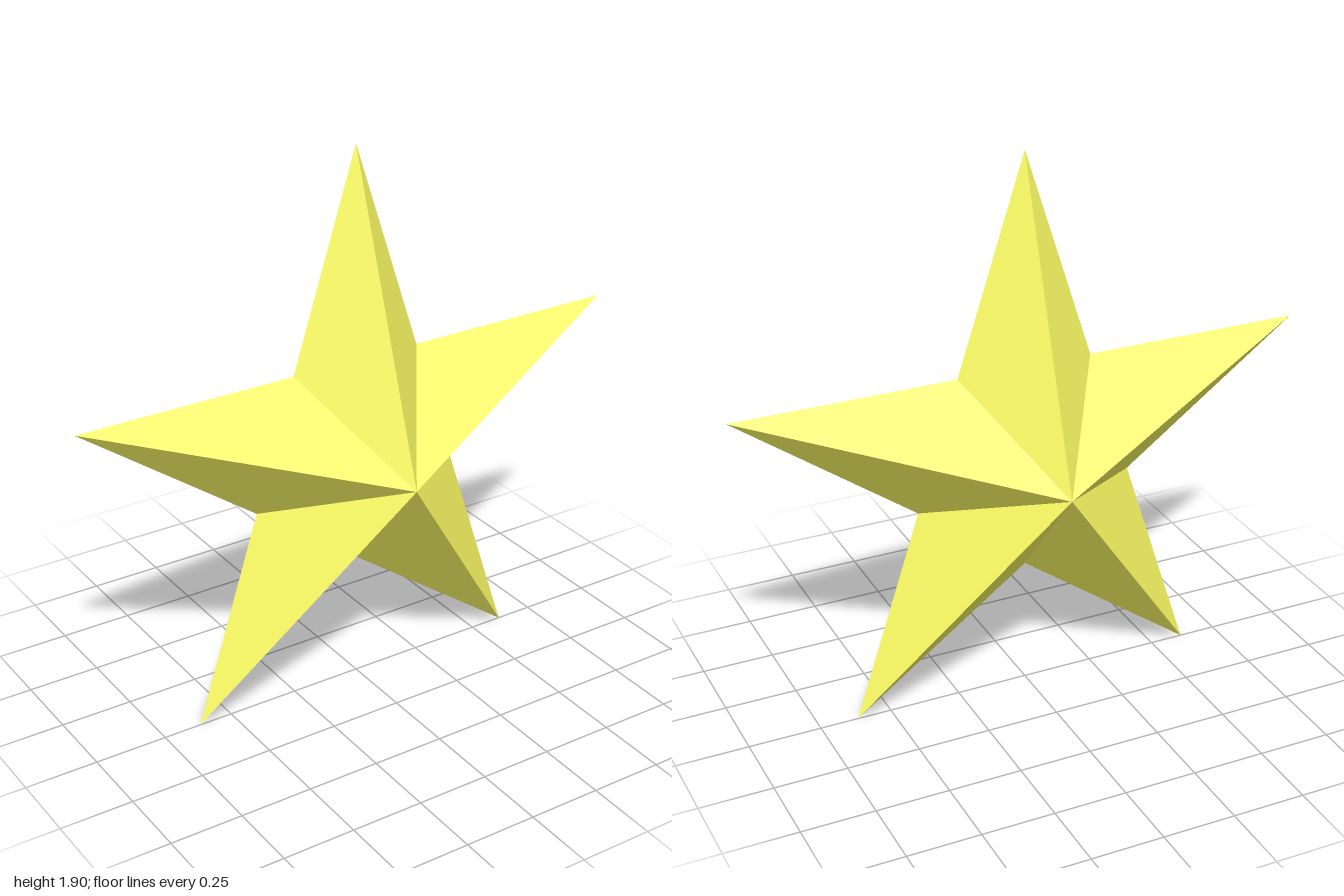
import * as THREE from 'three';

const POINTS = 5;
const OUTER = 1 / Math.cos(Math.PI / 10); // arm tips span 2 units in x
const INNER = OUTER * 0.382;              // notches of a regular pentagram
const DEPTH = 0.35;                       // height of the front and back peaks
const CENTRE_Y = OUTER * Math.cos(Math.PI / 5);

// Rim corner i, counter-clockwise from the top tip; even = tip, odd = notch
function rim(i) {
  const r = i % 2 ? INNER : OUTER;
  const a = Math.PI / 2 + (i * Math.PI) / POINTS;
  return [r * Math.cos(a), r * Math.sin(a), 0];
}

// Facets fanning from the rim to a peak in front of and behind the centre
function starGeometry() {
  const positions = [];
  for (let i = 0; i < POINTS * 2; i++) {
    const a = rim(i), b = rim(i + 1);
    positions.push(...a, ...b, 0, 0, DEPTH);
    positions.push(...b, ...a, 0, 0, -DEPTH);
  }
  const geometry = new THREE.BufferGeometry();
  geometry.setAttribute('position', new THREE.Float32BufferAttribute(positions, 3));
  geometry.computeVertexNormals();
  return geometry;
}

export function createModel() {
  const group = new THREE.Group();
  group.name = 'fivePointedStar';
  const material = new THREE.MeshStandardMaterial({ color: 0xffff66, flatShading: true });
  const star = new THREE.Mesh(starGeometry(), material);
  star.name = 'star';
  star.position.y = CENTRE_Y;
  group.add(star);
  return group;
}
